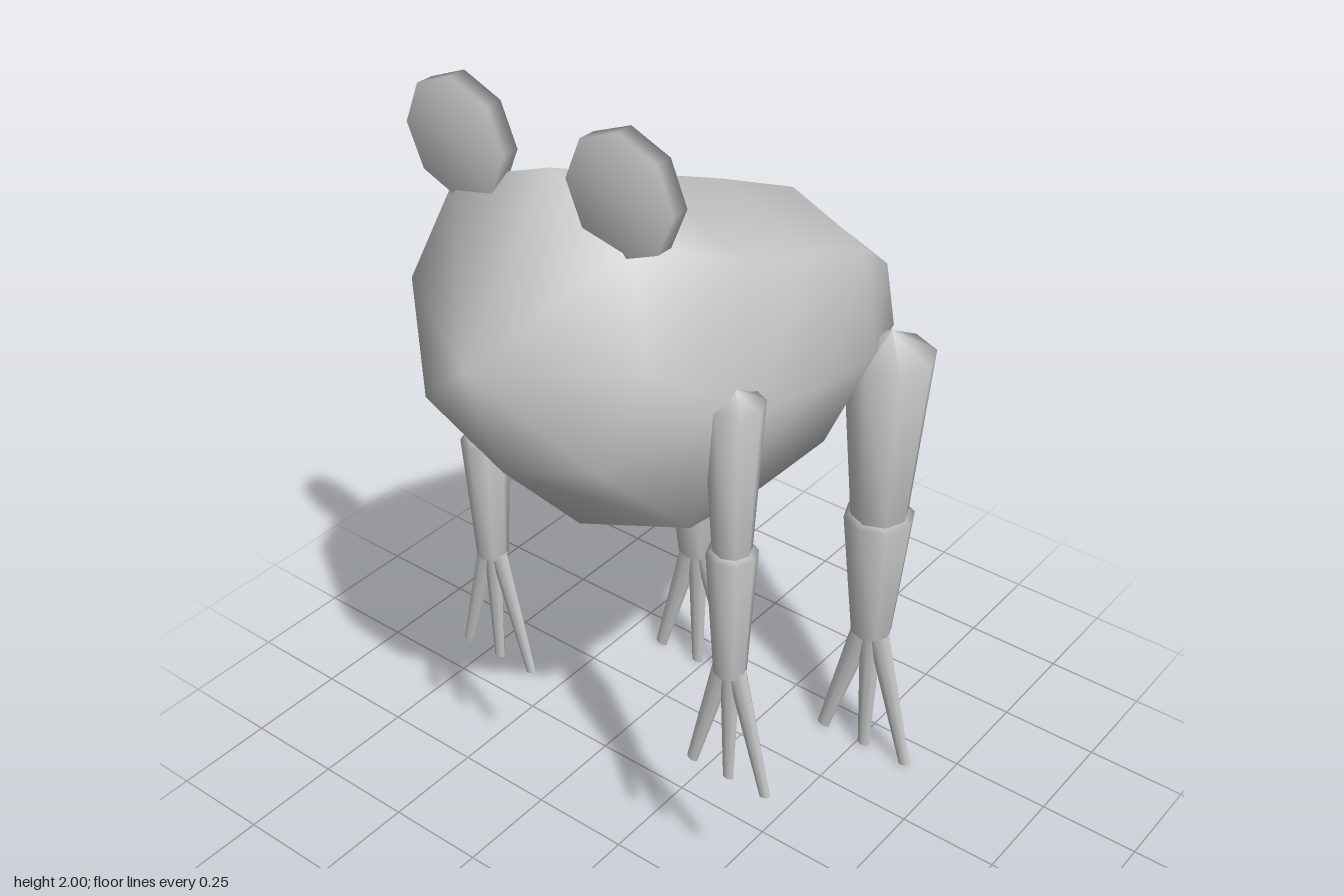
import * as THREE from 'three';

const skin = new THREE.MeshStandardMaterial({ color: 0xcccccc });
skin.name = 'grey';

const mesh = (geometry, name) => {
  const m = new THREE.Mesh(geometry, skin);
  m.name = name;
  return m;
};

// Smooth turned piece from [radius, y] pairs, bottom to top
const turned = (points, sides = 8) =>
  new THREE.LatheGeometry(points.map(p => new THREE.Vector2(...p)), sides);

// Body: tilted eight-sided sections between a nose point and a tail point
function bodyGeometry() {
  // top z, top y, bottom z, bottom y, half width
  const sections = [
    [0.40, 1.86, 0.57, 1.27, 0.30],
    [0.13, 1.745, 0.35, 1.02, 0.365],
    [-0.14, 1.63, 0.08, 0.97, 0.34],
    [-0.40, 1.51, -0.22, 0.93, 0.29],
    [-0.60, 1.33, -0.51, 0.98, 0.19],
  ];
  const n = 8, pos = [], idx = [];
  for (const [tz, ty, bz, by, w] of sections) {
    for (let j = 0; j < n; j++) {
      const a = j / n * Math.PI * 2;
      const k = j % 2 ? 1.05 : 1;
      const t = (1 - Math.cos(a) * k) / 2;
      pos.push(Math.sin(a) * w * k, ty + (by - ty) * t, tz + (bz - tz) * t);
    }
  }
  const nose = sections.length * n, tail = nose + 1;
  const last = nose - n;
  pos.push(0, 1.54, 0.66, 0, 1.11, -0.655);
  for (let j = 0; j < n; j++) {
    const k = (j + 1) % n;
    for (let r = 0; r < last; r += n) {
      idx.push(r + j, r + k, r + n + j, r + k, r + n + k, r + n + j);
    }
    idx.push(nose, k, j, tail, last + j, last + k);
  }
  const g = new THREE.BufferGeometry();
  g.setAttribute('position', new THREE.Float32BufferAttribute(pos, 3));
  g.setIndex(idx);
  g.computeVertexNormals();
  return g;
}

// Flattened tapering toe from the ankle to its tip
function toe(x0, y0, x1, y1, rTop, rTip) {
  const from = new THREE.Vector3(x0, y0, 0), to = new THREE.Vector3(x1, y1, 0);
  const m = mesh(new THREE.CylinderGeometry(rTop, rTip, from.distanceTo(to), 8), 'toe');
  m.position.copy(from).add(to).multiplyScalar(0.5);
  m.rotation.z = Math.atan2(x1 - x0, y0 - y1);
  m.scale.z = 0.55;
  return m;
}

// Leg: domed upper part, wider-topped lower part and three spread toes
function leg(name, x, z, d) {
  const g = new THREE.Group();
  g.name = name;
  g.position.set(x, 0, z);
  g.add(mesh(turned([[0, d.knee], [d.r[1], d.knee], [d.r[0], d.shoulder], [0, d.top]]), 'upperLeg'));
  g.add(mesh(turned([[0, d.ankle], [d.r[3], d.ankle], [d.r[2], d.knee - 0.005],
    [d.r[1] * 0.8, d.knee + 0.008], [0, d.knee + 0.01]]), 'lowerLeg'));
  for (const s of [-1, 0, 1]) {
    g.add(toe(s * 0.018, d.ankle + 0.005, s * d.spread, d.floor, d.toe[0], d.toe[1]));
  }
  return g;
}

export function createModel() {
  const model = new THREE.Group();
  model.name = 'frog';
  model.add(mesh(bodyGeometry(), 'body'));

  const front = { top: 1.445, shoulder: 1.415, knee: 1.06, ankle: 0.74, floor: 0.435,
    r: [0.063, 0.042, 0.055, 0.036], spread: 0.1, toe: [0.026, 0.014] };
  const back = { top: 1.235, shoulder: 1.175, knee: 0.735, ankle: 0.38, floor: 0.002,
    r: [0.107, 0.07, 0.086, 0.051], spread: 0.125, toe: [0.033, 0.017] };

  for (const side of [-1, 1]) {
    const label = side > 0 ? 'left' : 'right';
    model.add(leg(label + 'FrontLeg', side * 0.34, 0.27, front));
    model.add(leg(label + 'BackLeg', side * 0.27, -0.415, back));

    // Thin eight-sided eye disc standing on the head
    const r = 0.125, h = 0.019;
    const eye = mesh(turned([[0, -h], [r, -h], [r, h], [0, h]]), label + 'Eye');
    eye.rotation.x = Math.PI / 2;
    eye.position.set(side * 0.2, 1.876, 0.42);
    model.add(eye);
  }
  return model;
}
